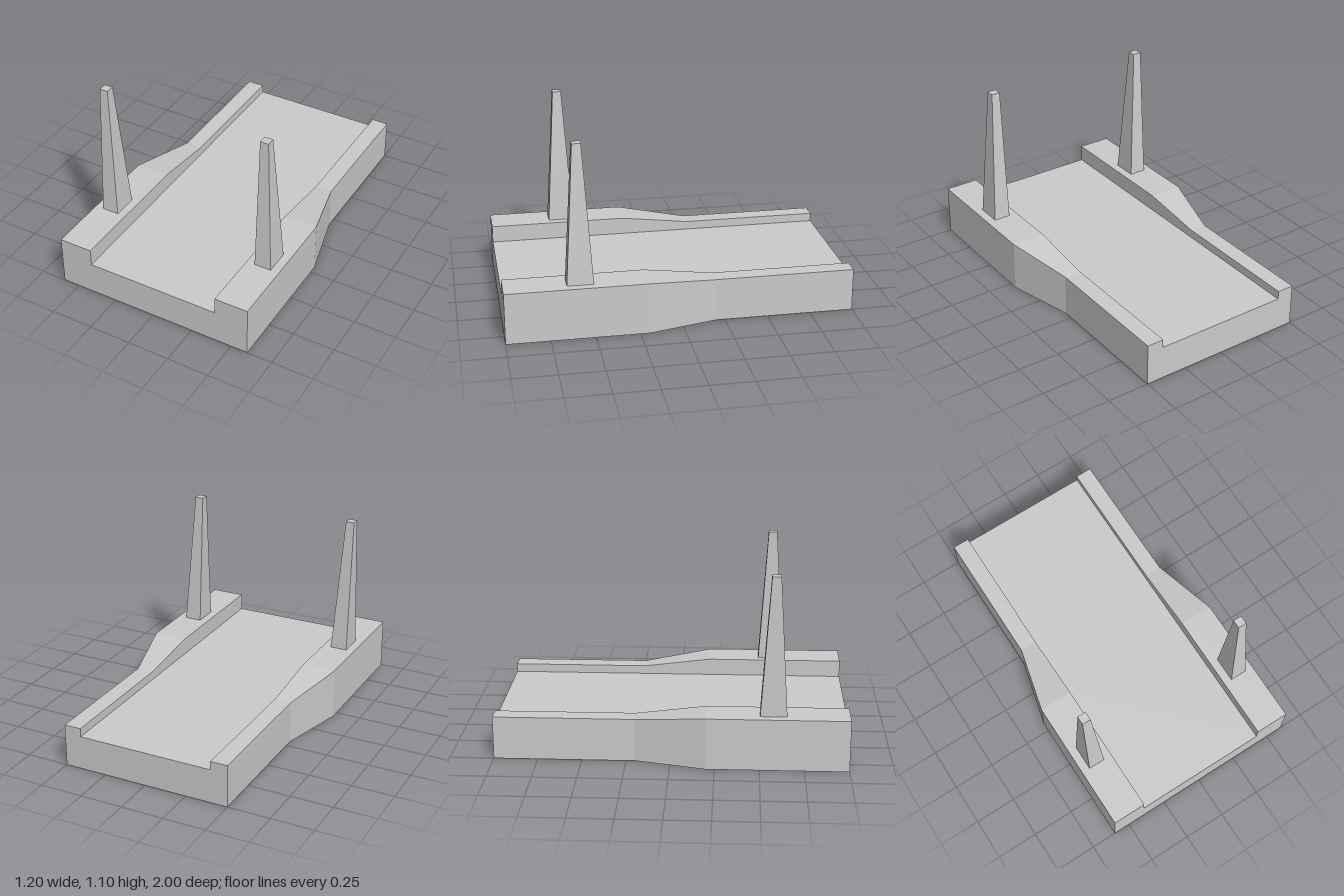
import * as THREE from 'three';

const material = new THREE.MeshStandardMaterial({ color: 0xcccccc, flatShading: true });

// Channel-shaped cross-section of the deck: flat roadway between two raised kerbs
function channel(w, h) {
  return [[-w, 0], [w, 0], [w, h], [0.4, h], [0.4, 0.2], [-0.4, 0.2], [-0.4, h], [-w, h]]
    .map(([x, y]) => new THREE.Vector2(x, y));
}

// Joins cross-sections from front to back and caps both ends
function loft(sections) {
  const positions = [];
  const rings = sections.map(({ z, points }) => points.map(p => [p.x, p.y, z]));
  const triangle = (a, b, c) => positions.push(...a, ...b, ...c);
  for (let s = 0; s < rings.length - 1; s++) {
    const front = rings[s], back = rings[s + 1], n = front.length;
    for (let i = 0; i < n; i++) {
      const j = (i + 1) % n;
      triangle(front[i], back[i], back[j]);
      triangle(front[i], back[j], front[j]);
    }
  }
  const first = rings[0], last = rings[rings.length - 1];
  for (const [a, b, c] of THREE.ShapeUtils.triangulateShape(sections[0].points, [])) {
    triangle(first[a], first[b], first[c]);
    triangle(last[a], last[c], last[b]);
  }
  const geometry = new THREE.BufferGeometry();
  geometry.setAttribute('position', new THREE.Float32BufferAttribute(positions, 3));
  geometry.computeVertexNormals();
  return geometry;
}

// Tapered post: -x side stays upright, the other three lean inwards
function towerGeometry() {
  const geometry = new THREE.BoxGeometry(0.1, 0.8, 0.15).toNonIndexed();
  const p = geometry.attributes.position;
  for (let i = 0; i < p.count; i++) {
    if (p.getY(i) < 0) continue;
    if (p.getX(i) > 0) p.setX(i, 0);
    p.setZ(i, Math.sign(p.getZ(i)) * 0.025);
  }
  geometry.computeVertexNormals();
  return geometry;
}

export function createModel() {
  const model = new THREE.Group();
  model.name = 'bridgeSection';

  // Deck, wide and tall at the front, narrowing towards the back
  const deck = new THREE.Mesh(loft([
    { z: 1, points: channel(0.6, 0.3) },
    { z: 0.2, points: channel(0.6, 0.3) },
    { z: -0.2, points: channel(0.5, 0.25) },
    { z: -1, points: channel(0.5, 0.25) },
  ]), material);
  deck.name = 'deck';
  model.add(deck);

  // Towers standing on the kerbs, both facing the same way
  const geometry = towerGeometry();
  for (const [name, x] of [['leftTower', 0.5], ['rightTower', -0.5]]) {
    const tower = new THREE.Mesh(geometry, material);
    tower.name = name;
    tower.position.set(x, 0.7, 0.575);
    model.add(tower);
  }
  return model;
}
